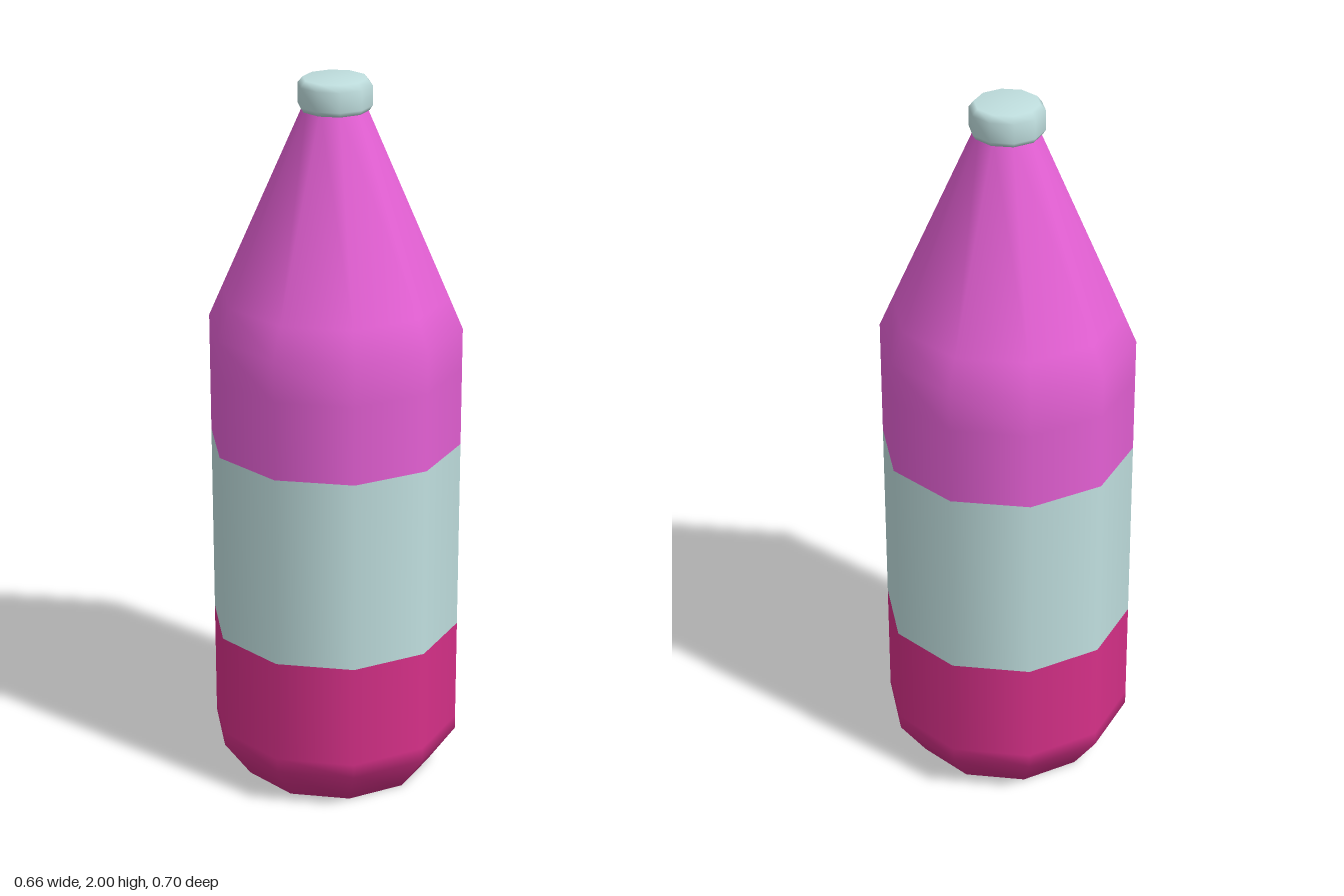
import * as THREE from 'three';

const SIDES = 10;

function material(name, color) {
  const m = new THREE.MeshStandardMaterial({ color });
  m.name = name;
  return m;
}

// Ten-sided turned part; profile is [radius, height] from bottom to top
function turned(name, profile, mat) {
  const points = profile.map(([r, y]) => new THREE.Vector2(r, y));
  const mesh = new THREE.Mesh(new THREE.LatheGeometry(points, SIDES), mat);
  mesh.name = name;
  return mesh;
}

export function createModel() {
  const pink = material('deep pink', 0xd63088);
  const pale = material('pale aqua', 0xc0dfdf);
  const magenta = material('magenta', 0xe460d4);
  const R = 0.348;

  const group = new THREE.Group();
  group.name = 'bottle';
  group.add(
    // Chamfered base
    turned('base', [[0, 0], [0.27, 0], [R, 0.11], [R, 0.15], [R, 0.445]], pink),
    // Label band around the middle
    turned('label', [[R, 0.445], [R, 0.99]], pale),
    // Upper body tapering into the neck
    turned('shoulder', [[R, 0.99], [R, 1.21], [R, 1.325], [0.311, 1.41], [0.083, 1.93]], magenta),
    // Cap with softened rims
    turned('cap', [[0, 1.917], [0.092, 1.917], [0.1, 1.93], [0.1, 1.983], [0.086, 2], [0, 2]], pale)
  );
  return group;
}
